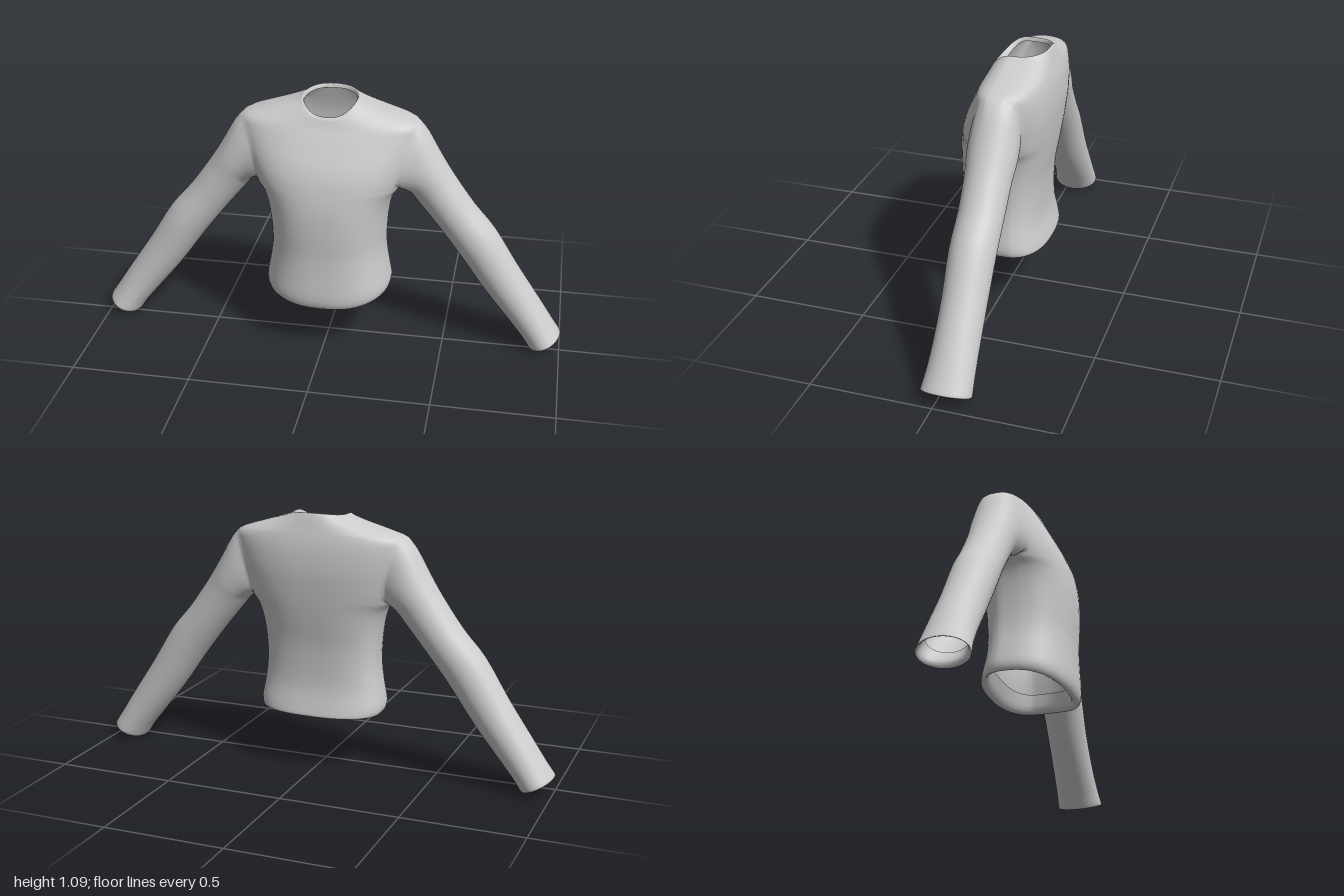
import * as THREE from 'three';

const COLS = 64, SUB = 3, HALF = 5;          // columns round the torso, steps per section, half armhole in columns
const ARMPIT = 9 * SUB, SHOULDER = 14 * SUB; // rows where the armhole starts and ends

// Torso sections: [side y, front y, back y], [half width, front z, back z]
const TORSO = [
  [[.33, .30, .33], [.225, .15, -.135]],     // inside of hem
  [[.265, .23, .262], [.235, .158, -.155]],
  [[.25, .212, .247], [.258, .185, -.18]],   // hem
  [[.285, .255, .285], [.267, .2, -.173]],
  [[.36, .35, .36], [.254, .197, -.157]],
  [[.45, .45, .45], [.242, .195, -.155]],    // waist
  [[.55, .55, .55], [.245, .2, -.161]],
  [[.64, .64, .64], [.258, .2, -.176]],
  [[.70, .70, .70], [.278, .195, -.185]],
  [[.735, .75, .75], [.305, .187, -.191]],   // armpit
  [[.79, .80, .80], [.325, .175, -.196]],
  [[.85, .855, .855], [.345, .153, -.2]],
  [[.91, .91, .91], [.362, .125, -.199]],
  [[.96, .955, .965], [.372, .101, -.194]],
  [[1.0, .985, 1.01], [.365, .084, -.184]],  // shoulder
  [[1.03, 1.0, 1.035], [.28, .077, -.177]],
  [[1.055, 1.012, 1.06], [.195, .072, -.17]],
  [[1.075, 1.025, 1.085], [.135, .066, -.162]],
  [[1.086, 1.03, 1.098], [.113, .055, -.154]], // collar rim
  [[1.07, 1.01, 1.08], [.107, .042, -.148]],
];

// Sleeve sections: [upper x, upper y, front z], [lower x, lower y, back z]
const SLEEVE = [
  [[.365, 1.0, .075], [.305, .735, -.15]],
  [[.405, .955, .07], [.32, .715, -.15]],
  [[.46, .86, .062], [.342, .69, -.143]],
  [[.52, .765, .053], [.365, .66, -.135]],
  [[.61, .64, .05], [.455, .55, -.132]],
  [[.70, .535, .055], [.555, .42, -.13]],    // elbow
  [[.80, .375, .05], [.665, .265, -.128]],
  [[.90, .225, .052], [.77, .135, -.13]],
  [[.965, .125, .06], [.835, .055, -.133]],
  [[1.0, .073, .068], [.87, .006, -.135]],   // cuff
  [[.983, .082, .055], [.883, .028, -.122]], // inside of cuff
  [[.95, .13, .045], [.85, .075, -.112]],
];

// Smooth curves through the two halves of each section
const splines = (list) => [0, 1].map((k) =>
  new THREE.CatmullRomCurve3(list.map((s) => new THREE.Vector3(...s[k])), false, 'catmullrom'));

function torsoPoint(row, col, [heights, sizes], rows) {
  const h = heights.getPoint(row / (rows - 1)), d = sizes.getPoint(row / (rows - 1));
  const theta = col / COLS * Math.PI * 2, quarter = Math.PI / 2;
  // Spread the columns beside the armhole so that its outline is oval
  const q = (row - (ARMPIT + SHOULDER) / 2) / ((SHOULDER - ARMPIT) / 2);
  const K = HALF / COLS * Math.PI * 2, H = .2 + .35 * Math.sqrt(Math.max(0, 1 - q * q));
  let a = Math.acos(Math.min(1, Math.abs(Math.cos(theta))));
  a = a <= K ? a / K * H : H + (a - K) * (quarter - H) / (quarter - K);
  const c = Math.max(0, Math.cos(a)), s = Math.sin(a), front = Math.sin(theta) > 0;
  const zc = -.035;
  return new THREE.Vector3(
    Math.sign(Math.cos(theta)) * d.x * c ** .8,
    h.x + ((front ? h.y : h.z) - h.x) * s * s,
    zc + ((front ? d.y : d.z) - zc) * s ** .8);
}

function sleevePoint(t, phi, [upper, lower]) {
  const u = upper.getPoint(t), l = lower.getPoint(t);
  const m = (1 + Math.cos(phi)) / 2;
  return new THREE.Vector3(
    l.x + (u.x - l.x) * m,
    l.y + (u.y - l.y) * m,
    (u.z + l.z) / 2 + (u.z - l.z) / 2 * Math.sin(phi));
}

function sweaterGeometry() {
  const points = [], index = [];
  const wrap = (c) => (c + COLS) % COLS;

  // Torso rings, leaving the armholes open
  const torso = splines(TORSO), rows = (TORSO.length - 1) * SUB + 1;
  for (let r = 0; r < rows; r++)
    for (let c = 0; c < COLS; c++) points.push(torsoPoint(r, c, torso, rows));
  const inArmhole = (r, c) => {
    const side = c % (COLS / 2);
    return r >= ARMPIT && r < SHOULDER && (side < HALF || side >= COLS / 2 - HALF);
  };
  for (let r = 0; r < rows - 1; r++)
    for (let c = 0; c < COLS; c++) {
      if (inArmhole(r, c)) continue;
      const a = r * COLS + c, b = r * COLS + wrap(c + 1);
      index.push(a, a + COLS, b + COLS, a, b + COLS, b);
    }

  // Armhole outline as [row, column offset], from the top round by the front
  const outline = [];
  for (let c = 0; c < HALF; c++) outline.push([SHOULDER, c]);
  for (let r = SHOULDER; r > ARMPIT; r--) outline.push([r, HALF]);
  for (let c = HALF; c > -HALF; c--) outline.push([ARMPIT, c]);
  for (let r = ARMPIT; r < SHOULDER; r++) outline.push([r, -HALF]);
  for (let c = -HALF; c < 0; c++) outline.push([SHOULDER, c]);

  // Sleeves grow out of the armholes
  const sleeve = splines(SLEEVE), n = outline.length, steps = (SLEEVE.length - 1) * SUB;
  for (const side of [1, -1]) {
    let ring = outline.map(([r, c]) => r * COLS + wrap(side > 0 ? c : COLS / 2 - c));
    const offsets = ring.map((id, i) => {
      const p = points[id].clone();
      p.x *= side;
      return p.sub(sleevePoint(0, i / n * Math.PI * 2, sleeve));
    });
    for (let k = 1; k <= steps; k++) {
      const fade = 1 - THREE.MathUtils.smoothstep(k / SUB, 0, 2.5);
      const next = offsets.map((o, i) => {
        const p = sleevePoint(k / steps, i / n * Math.PI * 2, sleeve).addScaledVector(o, fade);
        p.x *= side;
        return points.push(p) - 1;
      });
      for (let i = 0; i < n; i++) {
        const j = (i + 1) % n;
        if (side > 0) index.push(ring[i], ring[j], next[j], ring[i], next[j], next[i]);
        else index.push(ring[i], next[j], ring[j], ring[i], next[i], next[j]);
      }
      ring = next;
    }
  }

  const geometry = new THREE.BufferGeometry().setFromPoints(points);
  geometry.setIndex(index);
  geometry.computeVertexNormals();
  return geometry;
}

export function createModel() {
  const group = new THREE.Group();
  group.name = 'sweater';
  const material = new THREE.MeshStandardMaterial({ color: 0xcccccc, side: THREE.DoubleSide });
  const body = new THREE.Mesh(sweaterGeometry(), material);
  body.name = 'bodyAndSleeves';
  group.add(body);
  return group;
}
